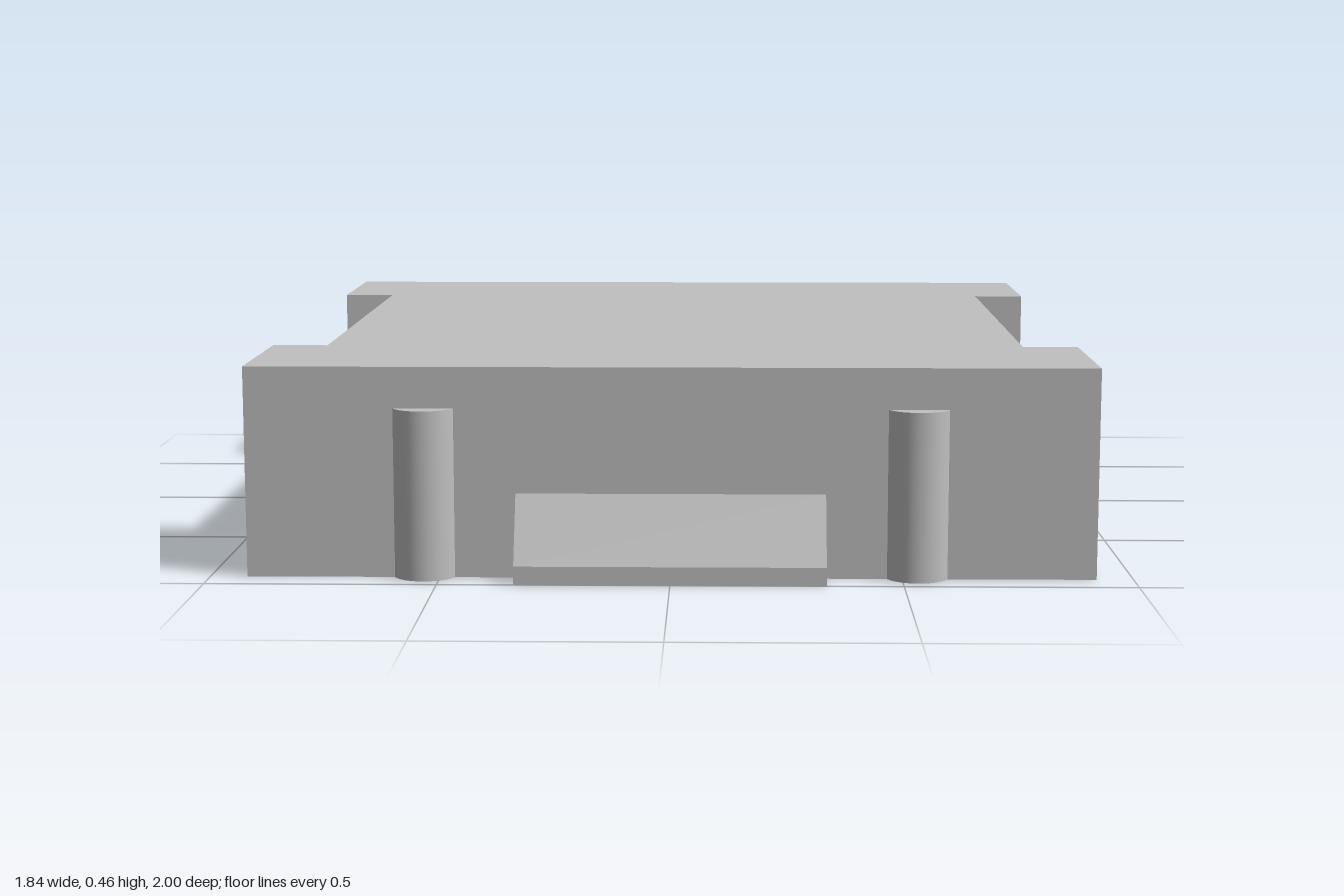
import * as THREE from 'three';

export function createModel() {
  const model = new THREE.Group();
  model.name = 'notchedBlock';
  const grey = new THREE.MeshStandardMaterial({ color: 0xc0c0c0 });
  grey.name = 'light grey';

  const add = (parent, name, geometry) => {
    const mesh = new THREE.Mesh(geometry, grey);
    mesh.name = name;
    parent.add(mesh);
    return mesh;
  };
  const extrude = (points, depth) => new THREE.ExtrudeGeometry(
    new THREE.Shape(points.map(([x, y]) => new THREE.Vector2(x, y))),
    { depth, bevelEnabled: false }
  );

  // Slab with a long shallow notch in each side
  const W = 0.92, L = 0.925, notchX = 0.795, notchZ = 0.555;
  const outline = [
    [-W, -L], [W, -L], [W, -notchZ], [notchX, -notchZ], [notchX, notchZ], [W, notchZ],
    [W, L], [-W, L], [-W, notchZ], [-notchX, notchZ], [-notchX, -notchZ], [-W, -notchZ],
  ];
  add(model, 'body', extrude(outline, 0.46).rotateX(-Math.PI / 2));

  // Each end carries two half-sunk round ribs and a sloped lip
  for (const [name, turn] of [['frontEnd', 0], ['backEnd', Math.PI]]) {
    const end = new THREE.Group();
    end.name = name;
    end.rotation.y = turn;
    model.add(end);

    for (const side of [-1, 1]) {
      const rib = new THREE.CylinderGeometry(0.07, 0.07, 0.37, 32);
      add(end, side > 0 ? 'leftRib' : 'rightRib', rib).position.set(side * 0.533, 0.185, 0.9);
    }

    const profile = [[0.9, 0], [1, 0], [1, 0.04], [0.925, 0.185], [0.9, 0.185]];
    add(end, 'lip', extrude(profile, 0.67).rotateY(-Math.PI / 2).translate(0.335, 0, 0));
  }
  return model;
}
